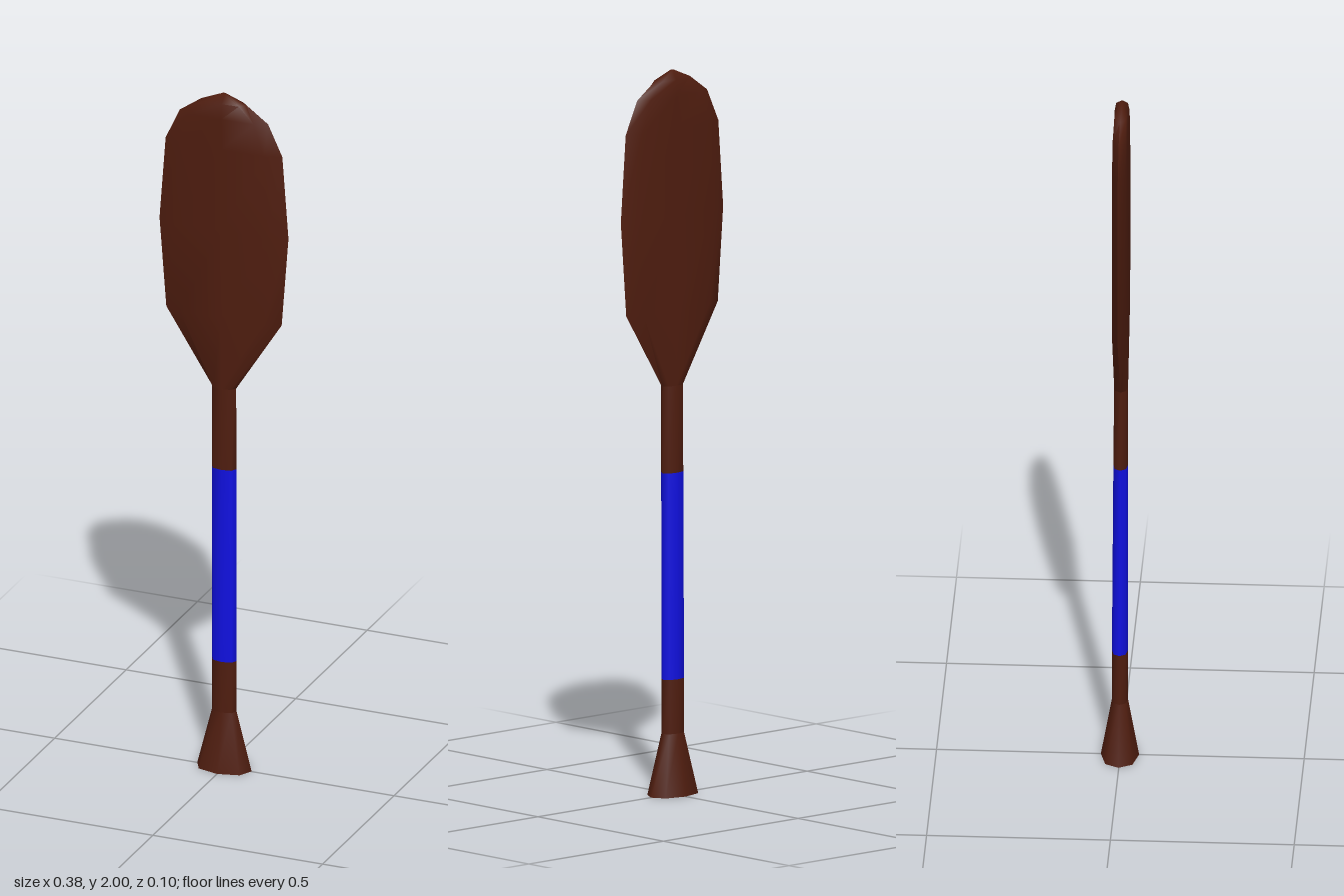
import * as THREE from 'three';
import { toCreasedNormals } from 'three/addons/utils/BufferGeometryUtils.js';

// Lofts eight-sided sections: [y, halfWidth, shoulderX, shoulderZ, halfDepth, zCentre]
function loft(sections, capBottom = false, capTop = false) {
  const pos = [], idx = [];
  for (const [y, w, sx, sz, d, zc] of sections) {
    const ring = [[w, 0], [sx, sz], [0, d], [-sx, sz], [-w, 0], [-sx, -sz], [0, -d], [sx, -sz]];
    for (const [x, z] of ring) pos.push(x, y, z + zc);
  }
  for (let i = 0; i < sections.length - 1; i++) {
    for (let j = 0; j < 8; j++) {
      const a = i * 8 + j, b = i * 8 + (j + 1) % 8;
      idx.push(a, a + 8, b, b, a + 8, b + 8);
    }
  }
  const top = (sections.length - 1) * 8;
  for (let j = 1; j < 7; j++) {
    if (capBottom) idx.push(0, j, j + 1);
    if (capTop) idx.push(top, top + j + 1, top + j);
  }
  const geo = new THREE.BufferGeometry();
  geo.setAttribute('position', new THREE.Float32BufferAttribute(pos, 3));
  geo.setIndex(idx);
  return toCreasedNormals(geo, 1.15);
}

export function createModel() {
  const paddle = new THREE.Group();
  paddle.name = 'paddle';
  const wood = new THREE.MeshStandardMaterial({ color: 0x4f1d0f });
  const blue = new THREE.MeshStandardMaterial({ color: 0x1010e0 });
  const add = (name, geo, mat) => {
    const mesh = new THREE.Mesh(geo, mat);
    mesh.name = name;
    paddle.add(mesh);
  };

  // Sections where the parts of the shaft meet
  const neck = [0.17, 0.036, 0.027, 0.016, 0.022, -0.001];
  const gripLow = [0.32, 0.036, 0.027, 0.016, 0.022, -0.001];
  const gripHigh = [0.89, 0.036, 0.027, 0.015, 0.02, 0.001];
  const throat = [1.13, 0.036, 0.026, 0.015, 0.019, 0.002];

  // Flared butt and lower shaft
  add('flaredHandleEnd', loft([[0, 0.08, 0.06, 0.037, 0.052, -0.001], neck], true), wood);
  add('lowerShaft', loft([neck, gripLow]), wood);

  // Coloured grip wrap, flush with the shaft
  add('gripWrap', loft([gripLow, gripHigh]), blue);
  add('upperShaft', loft([gripHigh, throat]), wood);

  // Broad flat blade with a bevelled rim
  add('blade', loft([
    throat,
    [1.34, 0.17, 0.122, 0.018, 0.019, 0.002],
    [1.6, 0.19, 0.137, 0.018, 0.019, 0.002],
    [1.84, 0.172, 0.125, 0.018, 0.019, 0.002],
    [1.93, 0.13, 0.095, 0.018, 0.019, 0.002],
    [1.975, 0.066, 0.05, 0.016, 0.018, 0.002],
    [2, 0.006, 0.004, 0.003, 0.004, 0.002],
  ], false, true), wood);

  return paddle;
}
